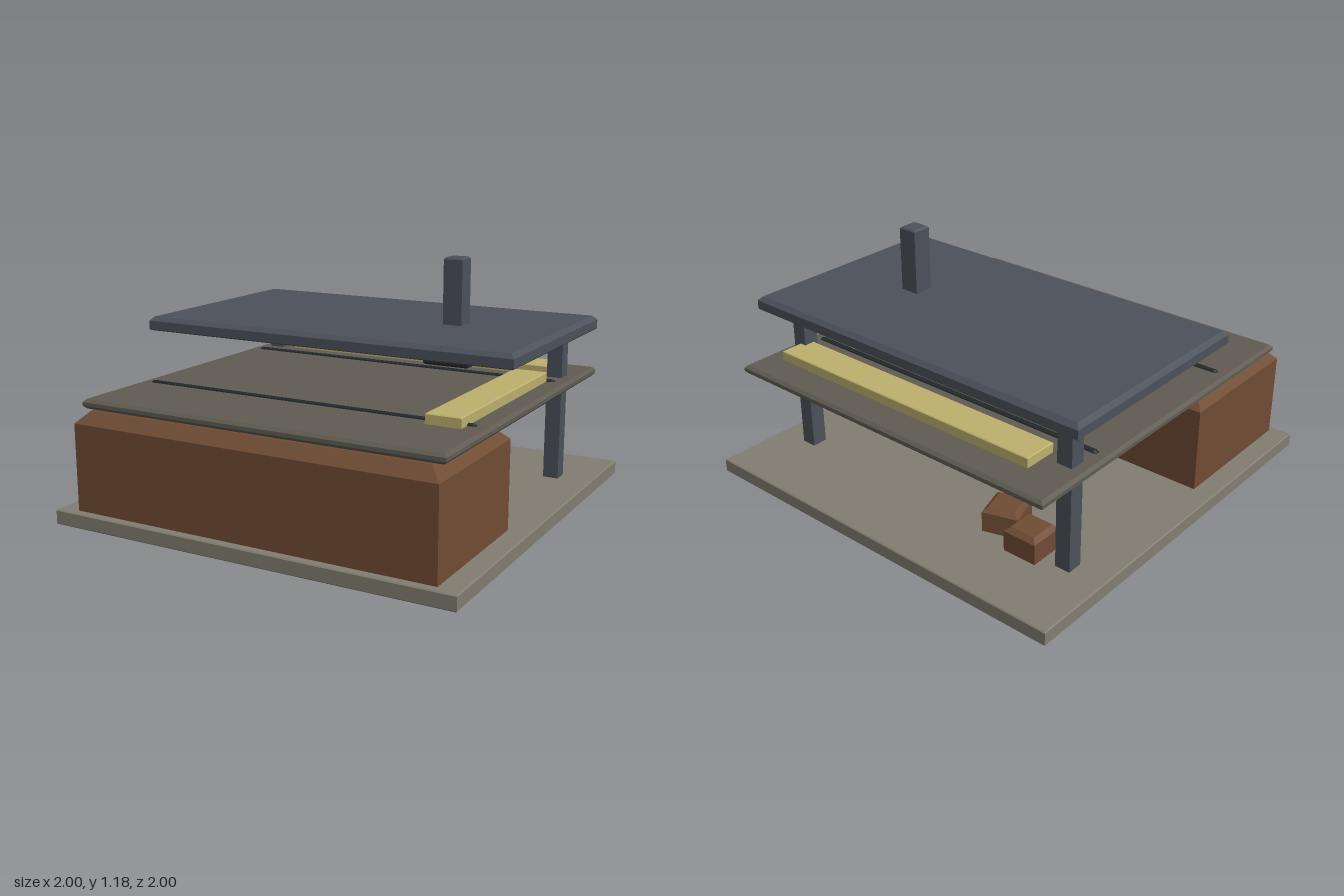
import * as THREE from 'three';

const mat = (color) => new THREE.MeshStandardMaterial({ color, flatShading: true });

// Box given by its min/max corners, with chamfered top and bottom rims
function chamferBox(min, max, top = 0, bottom = 0) {
  const [w, h, d] = max.map((v, i) => v - min[i]);
  const levels = [[0, bottom]]; // [height, inset] from bottom to top
  if (bottom) levels.push([bottom, 0]);
  if (top) levels.push([h - top, 0]);
  levels.push([h, top]);
  const rows = levels.length - 1;
  const geo = new THREE.BoxGeometry(w, h, d, 1, rows, 1);
  const p = geo.attributes.position;
  for (let i = 0; i < p.count; i++) {
    const [y, inset] = levels[Math.round((p.getY(i) / h + 0.5) * rows)];
    p.setXYZ(i,
      Math.sign(p.getX(i)) * (w / 2 - inset),
      y - h / 2,
      Math.sign(p.getZ(i)) * (d / 2 - inset));
  }
  const flat = geo.toNonIndexed();
  flat.computeVertexNormals();
  return flat;
}

export function createModel() {
  const model = new THREE.Group();
  model.name = 'stall';

  const stone = mat(0x827d71);
  const slate = mat(0x605c53);
  const steel = mat(0x4c525b);
  const wood = mat(0x704c34);
  const straw = mat(0xbdb06e);
  const black = mat(0x24282c);

  const add = (name, material, min, max, top, bottom) => {
    const mesh = new THREE.Mesh(chamferBox(min, max, top, bottom), material);
    mesh.position.set(...min.map((v, i) => (v + max[i]) / 2));
    mesh.name = name;
    model.add(mesh);
    return mesh;
  };

  // Ground slab, front counter and worktop
  add('baseSlab', stone, [-1, 0, -1], [1, 0.07, 1], 0.005, 0.005);
  add('counter', wood, [-0.9, 0.001, 0.245], [0.9, 0.535, 0.96], 0.055);
  add('worktop', slate, [-0.9, 0.535, -0.9], [0.9, 0.58, 0.9], 0.014, 0.014);

  // Rails set into the worktop, front and back
  for (const [name, z] of [['frontRail', 0.468], ['backRail', -0.468]]) {
    const rail = new THREE.Mesh(new THREE.CapsuleGeometry(0.018, 1.655, 2, 8), black);
    rail.rotation.z = Math.PI / 2;
    rail.position.set(-0.003, 0.573, z);
    rail.name = name;
    model.add(rail);
  }

  // Boards lying on the worktop
  add('sideBoard', straw, [0.635, 0.58, -0.455], [0.8, 0.627, 0.54], 0.004);
  add('backBoard', straw, [-0.7, 0.58, -0.745], [0.8, 0.627, -0.58], 0.004);

  // Roof on two rear posts
  for (const s of [-1, 1]) {
    const x = s * 0.802;
    add(s > 0 ? 'leftPost' : 'rightPost', steel,
      [x - 0.038, 0.001, -0.636], [x + 0.038, 0.803, -0.56], 0.006);
  }
  add('roof', steel, [-0.95, 0.803, -0.75], [0.945, 0.87, 0.35], 0.02, 0.005);

  // Hood under the roof and chimney above it
  add('hood', black, [0.322, 0.685, -0.313], [0.55, 0.81, -0.085], 0, 0.008);
  add('chimney', steel, [0.39, 0.8, -0.246], [0.485, 1.185, -0.15], 0.008);

  // Two small crates behind the counter
  const crates = [['crateNear', -0.61, -0.605, 0], ['crateFar', -0.415, -0.538, 0.3]];
  for (const [name, x, z, turn] of crates) {
    const crate = add(name, wood, [x - 0.085, 0.001, z - 0.085], [x + 0.085, 0.19, z + 0.085], 0.022);
    crate.rotation.y = turn;
  }

  return model;
}
